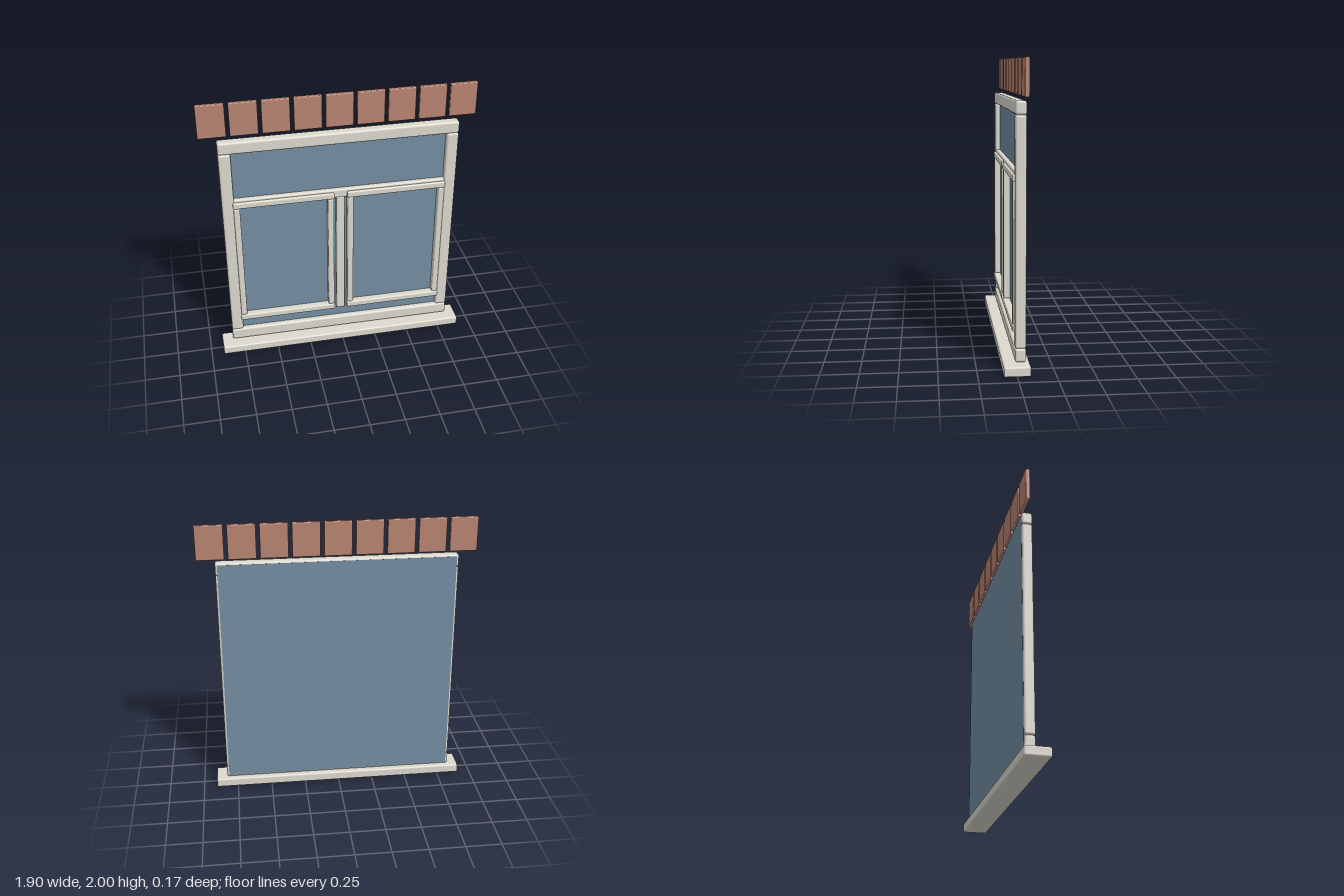
import * as THREE from 'three';
import { RoundedBoxGeometry } from 'three/addons/geometries/RoundedBoxGeometry.js';

export function createModel() {
  const model = new THREE.Group();
  model.name = 'window';

  const material = (name, color) => {
    const m = new THREE.MeshStandardMaterial({ color });
    m.name = name;
    return m;
  };
  const paint = material('off-white paint', 0xdcd9cf);
  const glass = material('blue-grey glass', 0x748ea3);
  const clay = material('terracotta', 0xb98471);

  // Rounded bar given by its extents on each axis
  function bar(name, mat, [x0, x1], [y0, y1], [z0, z1], radius, parent = model) {
    const geometry = new RoundedBoxGeometry(x1 - x0, y1 - y0, z1 - z0, 3, radius);
    const mesh = new THREE.Mesh(geometry, mat);
    mesh.position.set((x0 + x1) / 2, (y0 + y1) / 2, (z0 + z1) / 2);
    mesh.name = name;
    parent.add(mesh);
    return mesh;
  }

  // Sill
  bar('sill', paint, [-0.91, 0.905], [0, 0.066], [-0.088, 0.086], 0.012);

  // Outer frame
  const depth = [-0.063, 0.008];
  bar('bottomRail', paint, [-0.832, 0.828], [0.07, 0.16], depth, 0.015);
  bar('topRail', paint, [-0.832, 0.828], [1.648, 1.736], depth, 0.015);
  bar('rightJamb', paint, [-0.832, -0.748], [0.16, 1.648], depth, 0.015);
  bar('leftJamb', paint, [0.744, 0.828], [0.16, 1.648], depth, 0.015);

  // Pane, seated in the back of the frame
  const pane = new THREE.Mesh(new THREE.BoxGeometry(1.63, 1.64, 0.036), glass);
  pane.position.set(-0.002, 0.903, -0.046);
  pane.name = 'pane';
  model.add(pane);

  // Transom and centre post
  bar('transom', paint, [-0.755, 0.751], [1.225, 1.29], [-0.05, 0.003], 0.012);
  bar('mullion', paint, [-0.034, 0.026], [0.245, 1.232], [-0.05, 0.006], 0.01);

  // Two casements
  for (const [name, x0, x1] of [['rightCasement', -0.758, -0.05], ['leftCasement', 0.042, 0.752]]) {
    const casement = new THREE.Group();
    casement.name = name;
    model.add(casement);
    bar('casementTop', paint, [x0, x1], [1.225, 1.272], [-0.04, 0.02], 0.01, casement);
    bar('casementBottom', paint, [x0, x1], [0.25, 0.298], [-0.04, 0.02], 0.01, casement);
    for (const x of [x0 + 0.003, x1 - 0.047]) {
      bar('casementStile', paint, [x, x + 0.044], [0.298, 1.225], [-0.04, 0.017], 0.01, casement);
    }
  }

  // Row of roof tiles above
  const tiles = new THREE.Group();
  tiles.name = 'tiles';
  model.add(tiles);
  for (let i = 0; i < 9; i++) {
    const x = (i - 4) * 0.2143;
    bar('tile', clay, [x - 0.095, x + 0.095], [1.76, 2], [-0.066, -0.036], 0.007, tiles);
  }

  return model;
}
